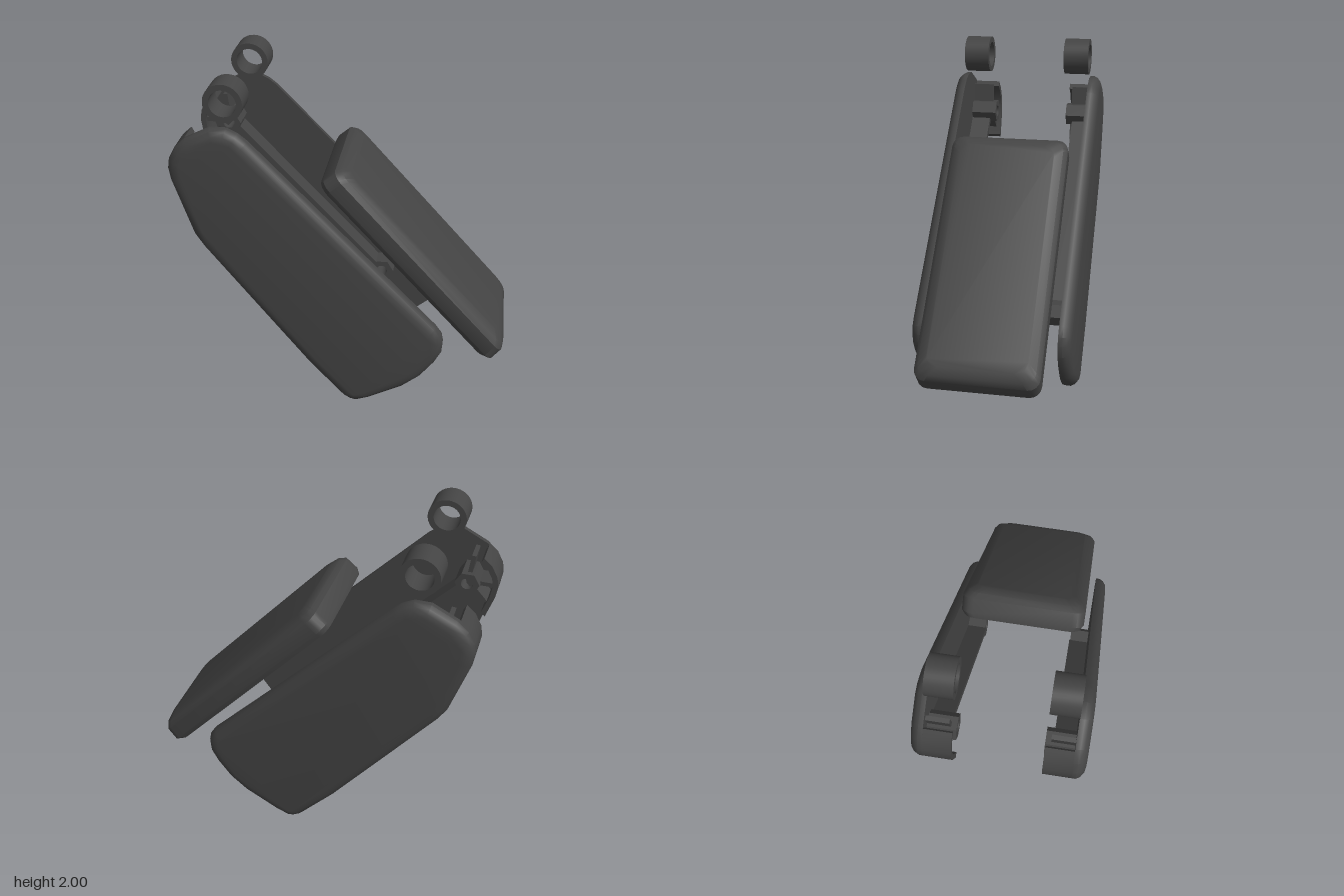
import * as THREE from 'three';
import { toCreasedNormals } from 'three/addons/utils/BufferGeometryUtils.js';
import { ConvexGeometry } from 'three/addons/geometries/ConvexGeometry.js';

const charcoal = new THREE.MeshStandardMaterial({ color: 0x444444 });
charcoal.name = 'charcoal';

const Z_IN = 0.235, Z_PANEL = 0.385, Z_OUT = 0.455;

function add(parent, name, geometry) {
  const mesh = new THREE.Mesh(geometry, charcoal);
  mesh.name = name;
  parent.add(mesh);
  return mesh;
}

// Moves every corner of a clockwise outline inward by d
function inset(points, d) {
  const n = points.length;
  return points.map(([x, y], i) => {
    const [ax, ay] = points[(i + n - 1) % n], [bx, by] = points[(i + 1) % n];
    const l = Math.hypot(bx - ax, by - ay);
    return [x + d * (by - ay) / l, y - d * (bx - ax) / l];
  });
}

// Extrudes an outline between z0 and z1 on the chosen side (+1 or -1)
function slab(points, z0, z1, side, hole) {
  const shape = new THREE.Shape(points.map(p => new THREE.Vector2(...p)));
  if (hole) shape.holes.push(new THREE.Path(hole.map(p => new THREE.Vector2(...p))));
  const g = new THREE.ExtrudeGeometry(shape, { depth: z1 - z0, bevelEnabled: false });
  g.translate(0, 0, side > 0 ? z0 : -z1);
  return toCreasedNormals(g, 0.6);
}

function circle(cx, cy, r, n) {
  return Array.from({ length: n }, (_, i) => {
    const a = i / n * Math.PI * 2;
    return [cx + r * Math.cos(a), cy + r * Math.sin(a)];
  });
}

// Straight bar of width w between two points
function bar(a, b, w) {
  const l = Math.hypot(b[0] - a[0], b[1] - a[1]);
  const nx = -(b[1] - a[1]) / l * w / 2, ny = (b[0] - a[0]) / l * w / 2;
  return [[a[0] + nx, a[1] + ny], [a[0] - nx, a[1] - ny], [b[0] - nx, b[1] - ny], [b[0] + nx, b[1] + ny]];
}

// Clockwise outline of a side panel
const outline = [
  [-0.71, 1.76], [-0.62, 1.76], [-0.56, 1.73], [-0.51, 1.69], [0.54, 0.59], [0.575, 0.54], [0.585, 0.49],
  [0.58, 0.42], [0.54, 0.34], [0.46, 0.23], [0.36, 0.145], [0.16, 0.035], [0.08, 0.005], [0.04, 0.015],
  [0, 0.04], [-0.2, 0.265], [-0.79, 1.03], [-0.84, 1.11], [-0.945, 1.44], [-0.955, 1.51], [-0.945, 1.57],
  [-0.91, 1.635], [-0.85, 1.69],
];

function sidePanel(side) {
  const points = [];
  for (const [d, z] of [[0, Z_PANEL], [0, 0.41], [0.012, 0.432], [0.035, 0.449], [0.065, Z_OUT]])
    for (const [x, y] of inset(outline, d)) points.push(new THREE.Vector3(x, y, side * z));
  return toCreasedNormals(new ConvexGeometry(points), 0.55);
}

// Cushion: rounded rectangles stacked through its thickness, then tilted
function cushion() {
  const sections = [
    [0, -0.715, 0.735, 0.325], [0.03, -0.725, 0.772, 0.342], [0.115, -0.722, 0.755, 0.342],
    [0.145, -0.7, 0.73, 0.32], [0.165, -0.655, 0.685, 0.275],
  ];
  const points = [], r = 0.065, steps = 4;
  for (const [h, u0, u1, w] of sections)
    for (let q = 0; q < 4; q++)
      for (let i = 0; i <= steps; i++) {
        const a = (q + i / steps) * Math.PI / 2;
        const u = (q === 0 || q === 3 ? u1 - r : u0 + r) + r * Math.cos(a);
        const z = (q < 2 ? w - r : r - w) + r * Math.sin(a);
        points.push(new THREE.Vector3(0.34 + 0.668 * u + 0.744 * h, 0.875 - 0.744 * u + 0.668 * h, z));
      }
  return toCreasedNormals(new ConvexGeometry(points), 0.55);
}

export function createModel() {
  const model = new THREE.Group();
  model.name = 'paddedSupport';
  add(model, 'cushion', cushion());

  const upper = [-0.78, 1.5], lower = [0.15, 0.5];
  for (const side of [1, -1]) {
    const half = new THREE.Group();
    half.name = side > 0 ? 'leftSide' : 'rightSide';
    model.add(half);

    add(half, 'sidePanel', sidePanel(side));
    add(half, 'ring', slab(circle(-0.635, 1.892, 0.108, 40), Z_IN, Z_PANEL, side,
      circle(-0.635, 1.892, 0.075, 40)));

    // Curved bracket wall that follows the panel edge
    const edge = [[-0.9, 1.3], [-0.945, 1.44], [-0.955, 1.51], [-0.945, 1.57], [-0.91, 1.635], [-0.86, 1.68]];
    const inner = [[-0.845, 1.65], [-0.885, 1.615], [-0.915, 1.56], [-0.925, 1.51], [-0.915, 1.44], [-0.875, 1.32]];
    add(half, 'bracketWall', slab([...edge, ...inner], Z_IN, 0.39, side));

    // Ribs joining the wall to the upper hub
    for (const end of [[-0.93, 1.5], [-0.8, 1.67], [-0.89, 1.38]])
      add(half, 'bracketRib', slab(bar(upper, end, 0.025), 0.26, 0.39, side,
        null));

    // Hexagonal hubs with bores, joined by a long bar
    add(half, 'upperHub', slab(circle(...upper, 0.072, 6), 0.23, 0.39, side, circle(...upper, 0.035, 16)));
    add(half, 'lowerHub', slab(circle(...lower, 0.075, 6), 0.275, 0.39, side, circle(...lower, 0.035, 16)));
    add(half, 'linkBar', slab(bar([-0.735, 1.45], [0.105, 0.55], 0.035), 0.27, 0.39, side));
  }
  return model;
}
